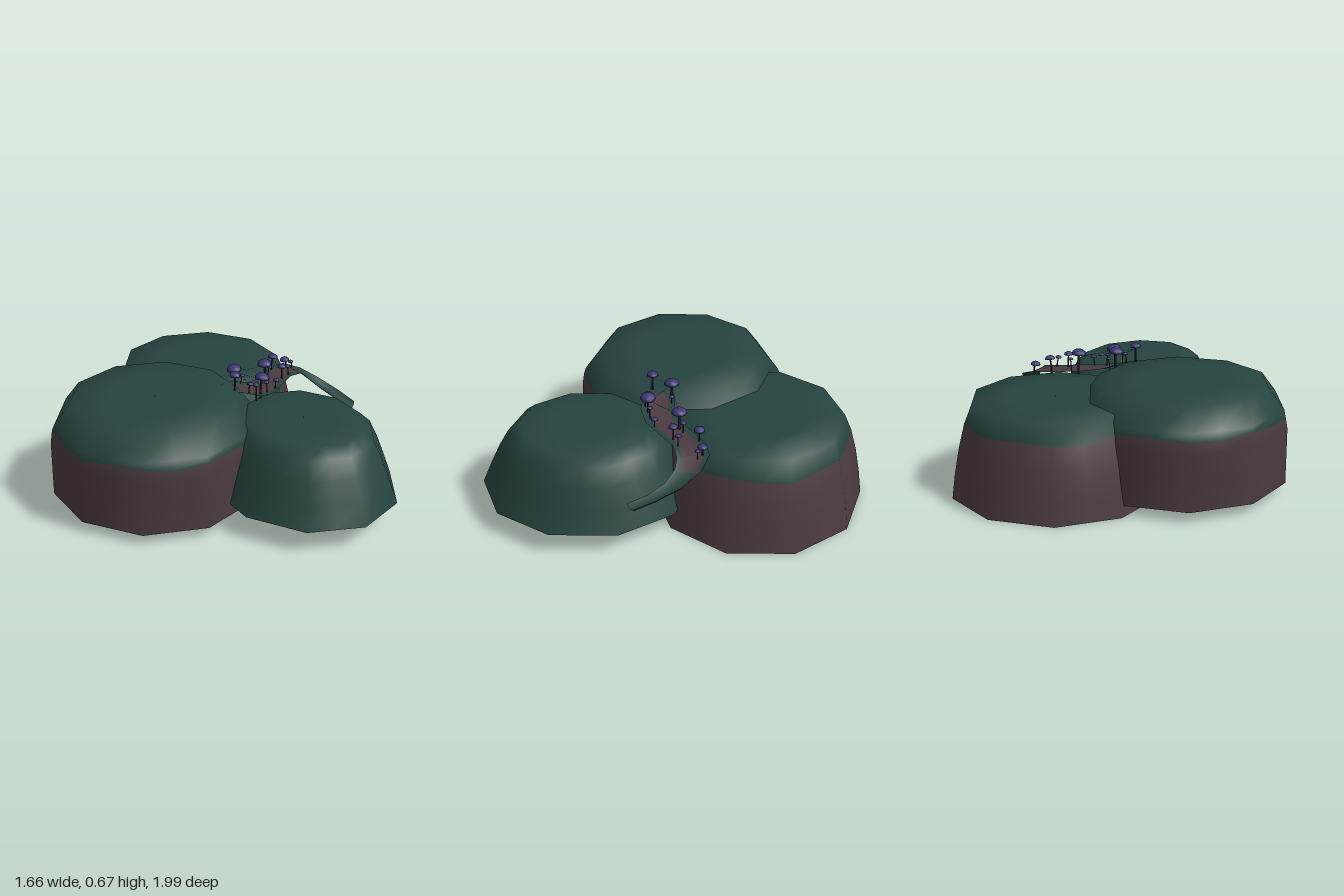
import * as THREE from 'three';

const mat = (name, color, side = THREE.FrontSide) => {
  const m = new THREE.MeshStandardMaterial({ color, side });
  m.name = name;
  return m;
};

// Indexed grid surface; pick(i, j) gives the material index of each cell
function grid(rows, closed, pick) {
  const n = rows[0].length, cols = closed ? n : n - 1;
  const cells = [[], []];
  for (let i = 0; i < rows.length - 1; i++)
    for (let j = 0; j < cols; j++) {
      const k = (j + 1) % n;
      const a = i * n + j, b = i * n + k, c = a + n, d = b + n;
      cells[pick(i, j)].push(a, b, d, a, d, c);
    }
  const g = new THREE.BufferGeometry();
  g.setAttribute('position', new THREE.Float32BufferAttribute(rows.flat(2), 3));
  g.setIndex([...cells[0], ...cells[1]]);
  g.addGroup(0, cells[0].length, 0);
  g.addGroup(cells[0].length, cells[1].length, 1);
  g.computeVertexNormals();
  return g;
}

// Open-bottomed ten-sided mound; profile is [radius, y] from base to top
function mound(cx, cz, profile, mossRow, stretch = 1) {
  const corner = (k) => [Math.sin(k * Math.PI / 5), Math.cos(k * Math.PI / 5)];
  const rows = profile.map(([r, y], i) => {
    const row = [];
    for (let j = 0; j < 20; j++) {
      const p = corner(Math.floor(j / 2)), q = corner(Math.ceil(j / 2));
      // ragged lower edge of the moss
      const wave = i === mossRow && i > 0 ? 0.012 * Math.sin(j * 1.9) + 0.006 * Math.cos(j * 3.1) : 0;
      row.push([cx + r * stretch[0] * (p[0] + q[0]) / 2, y + wave, cz + r * stretch[1] * (p[1] + q[1]) / 2]);
    }
    return row;
  });
  const g = grid(rows, true, (i) => (i < mossRow ? 1 : 0));
  // blend normals at side midpoints so the sides shade smoothly
  const N = g.attributes.normal, a = new THREE.Vector3(), b = new THREE.Vector3();
  rows.forEach((_, i) => {
    for (let j = 1; j < 20; j += 2) {
      a.fromBufferAttribute(N, i * 20 + j - 1);
      b.fromBufferAttribute(N, i * 20 + (j + 1) % 20);
      a.add(b).normalize();
      N.setXYZ(i * 20 + j, a.x, a.y, a.z);
    }
  });
  return g;
}

export function createModel() {
  const root = new THREE.Group();
  root.name = 'mushroomMounds';
  const moss = mat('moss green', 0x25433f, THREE.DoubleSide);
  const earth = mat('earth brown', 0x4a3a40, THREE.DoubleSide);
  const capMat = mat('cap purple', 0x3a3570, THREE.DoubleSide);
  const stemMat = mat('stem dark', 0x261e2a);
  const add = (name, geo, m, parent = root) => {
    const mesh = new THREE.Mesh(geo, m);
    mesh.name = name;
    parent.add(mesh);
    return mesh;
  };

  // Three mounds
  add('highMound', mound(-0.305, -0.04, [
    [0.55, 0.055], [0.55, 0.2], [0.55, 0.35], [0.54, 0.41], [0.53, 0.45],
    [0.447, 0.56], [0.25, 0.562], [0.001, 0.562]], 3, [1, 1]), [moss, earth]);
  add('backMound', mound(0.21, -0.44, [
    [0.558, 0], [0.54, 0.13], [0.513, 0.27], [0.48, 0.385],
    [0.44, 0.487], [0.25, 0.49], [0.001, 0.49]], 3, [1, 1]), [moss, earth]);
  add('frontMound', mound(0.302, 0.44, [
    [0.555, 0.122], [0.505, 0.24], [0.455, 0.35], [0.405, 0.44],
    [0.345, 0.487], [0.2, 0.49], [0.001, 0.49]], 0, [0.86, 1]), [moss, earth]);

  // Winding trough: back edge x z, front edge x z, height, rim lift
  const path = [
    [0.06, 0.02, 0.06, 0.12, 0.56, 0.004],
    [0.14, 0, 0.11, 0.15, 0.553, 0.008],
    [0.24, -0.01, 0.22, 0.17, 0.515, 0.008],
    [0.33, -0.05, 0.32, 0.14, 0.5, 0.006],
    [0.42, -0.11, 0.42, 0.07, 0.498, 0.004],
    [0.5, -0.16, 0.52, 0, 0.496, 0.004],
    [0.59, -0.18, 0.61, -0.02, 0.485, 0.008],
    [0.68, -0.14, 0.65, -0.01, 0.44, 0.02],
    [0.75, -0.05, 0.7, 0.04, 0.385, 0.03],
    [0.8, 0.07, 0.74, 0.12, 0.345, 0.03],
    [0.83, 0.18, 0.765, 0.22, 0.312, 0.03]];
  const section = [[0, 1], [0.18, 0.3], [0.5, 0], [0.82, 0.1], [1, 0.5]];
  const rows = path.map(([ax, az, bx, bz, y, lift]) => section.map(([t, h]) =>
    [ax + (bx - ax) * t, y + lift * h, az + (bz - az) * t])).reverse();
  add('windingPath', grid(rows, false, (i, j) => (i >= 3 && i < 9 && (j === 1 || j === 2) ? 1 : 0)), [moss, earth]);

  // Mushrooms: x, z, cap top height, cap radius
  const spots = [
    [0.09, 0.11, 0.665, 0.03], [0.145, 0.01, 0.655, 0.04], [0.25, 0.13, 0.63, 0.04],
    [0.365, -0.03, 0.62, 0.04], [0.46, 0, 0.585, 0.025], [0.49, -0.13, 0.588, 0.028],
    [0.575, -0.145, 0.545, 0.027], [0.36, 0.095, 0.56, 0.018], [0.41, -0.05, 0.57, 0.016],
    [0.51, -0.025, 0.56, 0.017], [0.175, 0.13, 0.595, 0.018], [0.2, 0.145, 0.59, 0.018],
    [0.28, 0.12, 0.575, 0.015], [0.2, 0.01, 0.59, 0.014], [0.6, -0.12, 0.53, 0.015]];
  const v = (x, y) => new THREE.Vector2(x, y);
  const capGeo = new THREE.LatheGeometry(
    [v(0.001, -0.35), v(0.6, -0.45), v(1, -0.7), v(0.9, -0.35), v(0.55, -0.08), v(0.001, 0)], 10);
  spots.forEach(([x, z, top, r], i) => {
    const m = new THREE.Group();
    m.name = 'mushroom' + (i + 1);
    const base = x < 0.2 ? 0.53 : 0.48;
    const lean = 0.012 * Math.sin(i * 2.3);
    const curve = new THREE.CatmullRomCurve3([
      new THREE.Vector3(x + lean, base, z),
      new THREE.Vector3(x + lean * 0.9, (base + top) / 2, z),
      new THREE.Vector3(x, top - r * 0.35, z)]);
    add('stem', new THREE.TubeGeometry(curve, 5, r * 0.13 + 0.001, 5), stemMat, m);
    const cap = add('cap', capGeo, capMat, m);
    cap.position.set(x, top, z);
    cap.scale.set(r, r, r);
    cap.rotation.z = lean * 10;
    root.add(m);
  });

  // Fine threads slung between the larger caps
  [[0, 1], [0, 2], [1, 2], [1, 3], [2, 3]].forEach(([a, b]) => {
    const end = (s) => new THREE.Vector3(s[0], s[2] - 0.03, s[1]);
    const p = end(spots[a]), q = end(spots[b]);
    const mid = p.clone().lerp(q, 0.5);
    mid.y -= 0.02;
    add('thread', new THREE.TubeGeometry(new THREE.QuadraticBezierCurve3(p, mid, q), 8, 0.0008, 3), stemMat);
  });
  return root;
}
